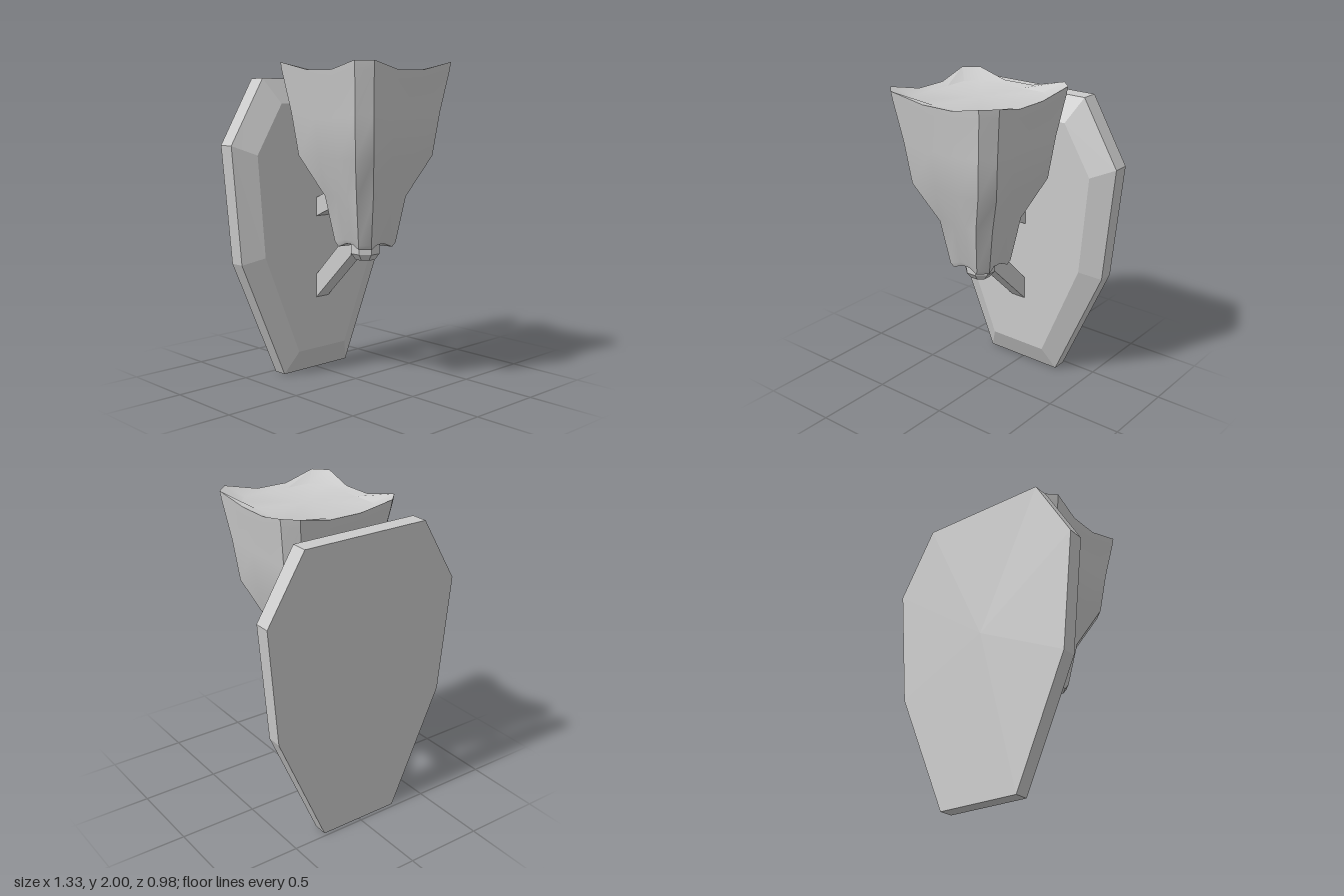
import * as THREE from 'three';
import { toCreasedNormals } from 'three/addons/utils/BufferGeometryUtils.js';

const CZ = 0.087; // depth of the lamp axis

// Skin a stack of equal-length rings of Vector3, closing both ends with a fan.
function loft(rings, crease) {
  const pos = [];
  const tri = (...pts) => pts.forEach((p) => pos.push(p.x, p.y, p.z));
  const n = rings[0].length;
  for (let j = 0; j < rings.length - 1; j++) {
    for (let i = 0; i < n; i++) {
      const k = (i + 1) % n, a = rings[j], b = rings[j + 1];
      tri(a[i], a[k], b[k]);
      tri(a[i], b[k], b[i]);
    }
  }
  const cap = (ring, up) => {
    const c = ring.reduce((s, p) => s.add(p), new THREE.Vector3()).divideScalar(n);
    ring.forEach((p, i) => {
      const q = ring[(i + 1) % n];
      if (up) tri(c, p, q); else tri(c, q, p);
    });
  };
  cap(rings[0], false);
  cap(rings[rings.length - 1], true);
  const g = new THREE.BufferGeometry();
  g.setAttribute('position', new THREE.Float32BufferAttribute(pos, 3));
  return toCreasedNormals(g, crease);
}

// Square ring with cut corners; the middle of each side is pulled in and shifted in height.
// r: half width, c: half length of the straight side, y: corner height, midR / midY: side middle
function cutSquare(r, c, y, midR, midY) {
  const side = [[r, -c, y], [midR, -c * 0.33, midY], [midR, c * 0.33, midY], [r, c, y]];
  const ring = [];
  for (let k = 0; k < 4; k++) {
    const co = Math.round(Math.cos(k * Math.PI / 2)), si = Math.round(Math.sin(k * Math.PI / 2));
    for (const [u, t, h] of side) ring.push(new THREE.Vector3(u * co - t * si, h, CZ - (u * si + t * co)));
  }
  return ring;
}

// Mirrored outline of the wall plate; depth may change with height.
function plateRing(half, depth) {
  const right = half.map(([x, y]) => new THREE.Vector3(x, y, depth(y)));
  const left = half.map(([x, y]) => new THREE.Vector3(-x, y, depth(y))).reverse();
  return [...right, ...left];
}

export function createModel() {
  const group = new THREE.Group();
  const material = new THREE.MeshStandardMaterial({ color: 0xcccccc });
  const add = (name, geometry) => {
    const mesh = new THREE.Mesh(geometry, material);
    mesh.name = name;
    group.add(mesh);
  };

  // Wall plate with a bevelled front
  const outer = [[0.27, 0], [0.6, 0.76], [0.665, 1.5], [0.42, 1.905]];
  const inner = [[0.2, 0.15], [0.47, 0.8], [0.525, 1.44], [0.335, 1.75]];
  add('wallPlate', loft([
    plateRing(outer, (y) => -0.478 - 0.009 * y),
    plateRing(outer, () => -0.387),
    plateRing(inner, (y) => -0.321 + 0.007 * y),
  ], 0.1));

  // Lamp shade: flared sides, flat cut corners, sagging rim and flat lens
  const profile = [ // corner height, half width, straight half length, side middle height
    [0.875, 0.145, 0.09, 0.9],
    [0.905, 0.16, 0.105, 0.925],
    [1.19, 0.21, 0.14, 1.19],
    [1.44, 0.325, 0.25, 1.43],
    [1.7, 0.355, 0.28, 1.67],
    [1.95, 0.395, 0.318, 1.9],
    [2, 0.402, 0.322, 1.952],
  ];
  const shade = profile.map(([y, r, c, midY]) => cutSquare(r, c, y, r * 0.935, midY));
  shade.push(cutSquare(0.311, 0.235, 1.94, 0.311, 1.94));
  add('lampShade', loft(shade, 0.5));

  // Small finial under the shade
  add('finial', loft([
    cutSquare(0.058, 0.026, 0.79, 0.058, 0.79),
    cutSquare(0.088, 0.035, 0.83, 0.088, 0.83),
    cutSquare(0.088, 0.035, 0.91, 0.088, 0.91),
  ], 0.3));

  // Two slanted arms joining shade and plate, as [z, y] side outlines
  const arms = {
    upperArm: [[-0.33, 1.02], [-0.02, 1.16], [-0.02, 1.278], [-0.33, 1.14]],
    lowerArm: [[-0.33, 0.48], [0.01, 0.81], [0.01, 0.92], [-0.04, 0.92], [-0.33, 0.63]],
  };
  for (const [name, outline] of Object.entries(arms)) {
    const shape = new THREE.Shape(outline.map(([z, y]) => new THREE.Vector2(-z, y)));
    const g = new THREE.ExtrudeGeometry(shape, { depth: 0.104, bevelEnabled: false });
    add(name, g.translate(0, 0, -0.052).rotateY(Math.PI / 2));
  }
  return group;
}
